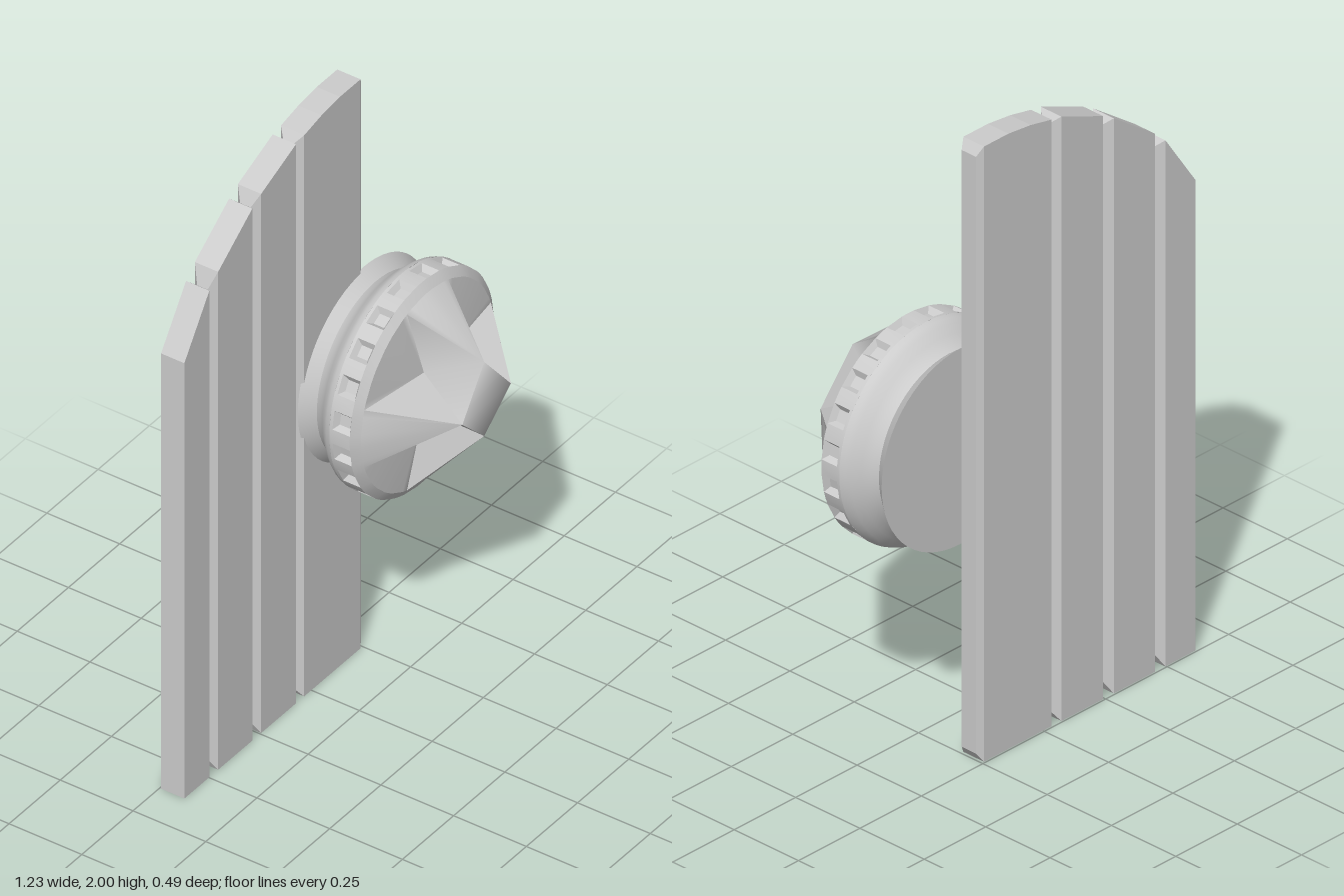
import * as THREE from 'three';
import { toCreasedNormals } from 'three/addons/utils/BufferGeometryUtils.js';

const grey = new THREE.MeshStandardMaterial({ color: 0xcccccc, side: THREE.DoubleSide });

// Collects triangles and quads (corners counter-clockwise from outside)
class Faces {
  constructor() { this.p = []; }
  tri(a, b, c) { this.p.push(...a, ...b, ...c); }
  quad(a, b, c, d) { this.tri(a, b, c); this.tri(a, c, d); }
  mesh(name, crease) {
    const g = new THREE.BufferGeometry();
    g.setAttribute('position', new THREE.Float32BufferAttribute(this.p, 3));
    g.computeVertexNormals();
    return named(name, crease ? toCreasedNormals(g, crease) : g);
  }
}

function named(name, geometry) {
  const m = new THREE.Mesh(geometry, grey);
  m.name = name;
  return m;
}

// Planked board: sections along x of [x, bottom, top, half thickness]
function plankBoard() {
  const zMid = -0.205, t = 0.04, v = 0.018;
  const sections = [
    [-0.62, 0, 1.53, t],
    [-0.498, 0, 1.71, t], [-0.475, 0.04, 1.69, v], [-0.455, 0, 1.75, t],
    [-0.288, 0, 1.87, t], [-0.265, 0.04, 1.85, v], [-0.245, 0, 1.895, t],
    [-0.075, 0, 1.965, t], [-0.055, 0.03, 1.945, v], [-0.035, 0, 1.972, t],
    [0.05, 0, 1.99, t], [0.14, 0, 2, t], [0.24, 0, 2, t], [0.26, 0.03, 1.97, 0.028],
  ].map(([x, lo, hi, h]) => [
    [x, lo, zMid + h], [x, lo, zMid - h], [x, hi, zMid - h], [x, hi, zMid + h],
  ]);
  const f = new Faces();
  for (let i = 0; i < sections.length - 1; i++) {
    const a = sections[i], b = sections[i + 1];
    for (let j = 0; j < 4; j++) {
      const k = (j + 1) % 4;
      f.quad(a[j], a[k], b[k], b[j]);
    }
  }
  f.quad(...[...sections[0]].reverse());
  f.quad(...sections[sections.length - 1]);
  return f.mesh('plankBoard');
}

const polar = (r, deg, z) => {
  const a = THREE.MathUtils.degToRad(deg);
  return [r * Math.cos(a), r * Math.sin(a), z];
};

// Flared base of the boss, closed by a flat disc at the back
function bossBase() {
  const pts = [[0, -0.172], [0.318, -0.172], [0.285, -0.13], [0.296, -0.11],
    [0.315, -0.09], [0.336, -0.07], [0.347, -0.055], [0.352, -0.04]];
  const g = new THREE.LatheGeometry(pts.map(([r, y]) => new THREE.Vector2(r, y)), 60);
  g.rotateX(Math.PI / 2);
  return named('bossBase', toCreasedNormals(g, 0.6));
}

// Band with twenty square, sloping sockets
function bossBand() {
  const f = new Faces();
  const rows = [[0.352, -0.04], [0.352, -0.03], [0.352, 0.03], [0.325, 0.05]];
  const cols = [0, 4, 14, 18];
  for (let s = 0; s < 20; s++) {
    const at = (c, r) => polar(rows[r][0], s * 18 + cols[c], rows[r][1]);
    for (let c = 0; c < 3; c++) {
      for (let r = 0; r < 3; r++) {
        const outer = [at(c, r), at(c + 1, r), at(c + 1, r + 1), at(c, r + 1)];
        if (c !== 1 || r !== 1) { f.quad(...outer); continue; }
        const inner = [[6, -0.018], [12, -0.018], [12, 0.018], [6, 0.018]]
          .map(([d, z]) => polar(0.333, s * 18 + d, z));
        for (let j = 0; j < 4; j++) {
          const k = (j + 1) % 4;
          f.quad(outer[j], outer[k], inner[k], inner[j]);
        }
        f.quad(...inner);
      }
    }
  }
  return f.mesh('bossBand', 0.45);
}

// Front of the boss: four wedges around a diamond cap, with scoops between
function bossFront() {
  const f = new Faces();
  const rim = (deg) => polar(0.325, deg, 0.05);
  const tips = [[0.13, 0.01, 0.245], [0, 0.165, 0.245], [-0.107, 0.01, 0.245], [0, -0.095, 0.245]];
  const arc = (from, to) => {
    const out = [];
    for (let d = from; d < to; d += 18) out.push(d, d + 4, d + 14);
    return [...out, to].map(rim);
  };
  f.quad(...tips);
  tips.forEach((a, q) => {
    const b = tips[(q + 1) % 4], base = q * 90;
    const pit = [(a[0] + b[0]) / 2, (a[1] + b[1]) / 2, 0.075];
    const wedge = arc(base - 18, base + 18);
    const scoop = arc(base + 18, base + 72);
    for (let i = 0; i < wedge.length - 1; i++) f.tri(a, wedge[i], wedge[i + 1]);
    for (let i = 0; i < scoop.length - 1; i++) f.tri(pit, scoop[i], scoop[i + 1]);
    f.tri(a, scoop[0], pit);
    f.tri(b, pit, scoop[scoop.length - 1]);
    f.tri(a, pit, b);
  });
  return f.mesh('bossFront', 0.9);
}

export function createModel() {
  const model = new THREE.Group();
  model.name = 'shieldHalf';
  const boss = new THREE.Group();
  boss.name = 'boss';
  boss.add(bossBase(), bossBand(), bossFront());
  boss.position.set(0.262, 1.005, 0);
  model.add(plankBoard(), boss);
  return model;
}
